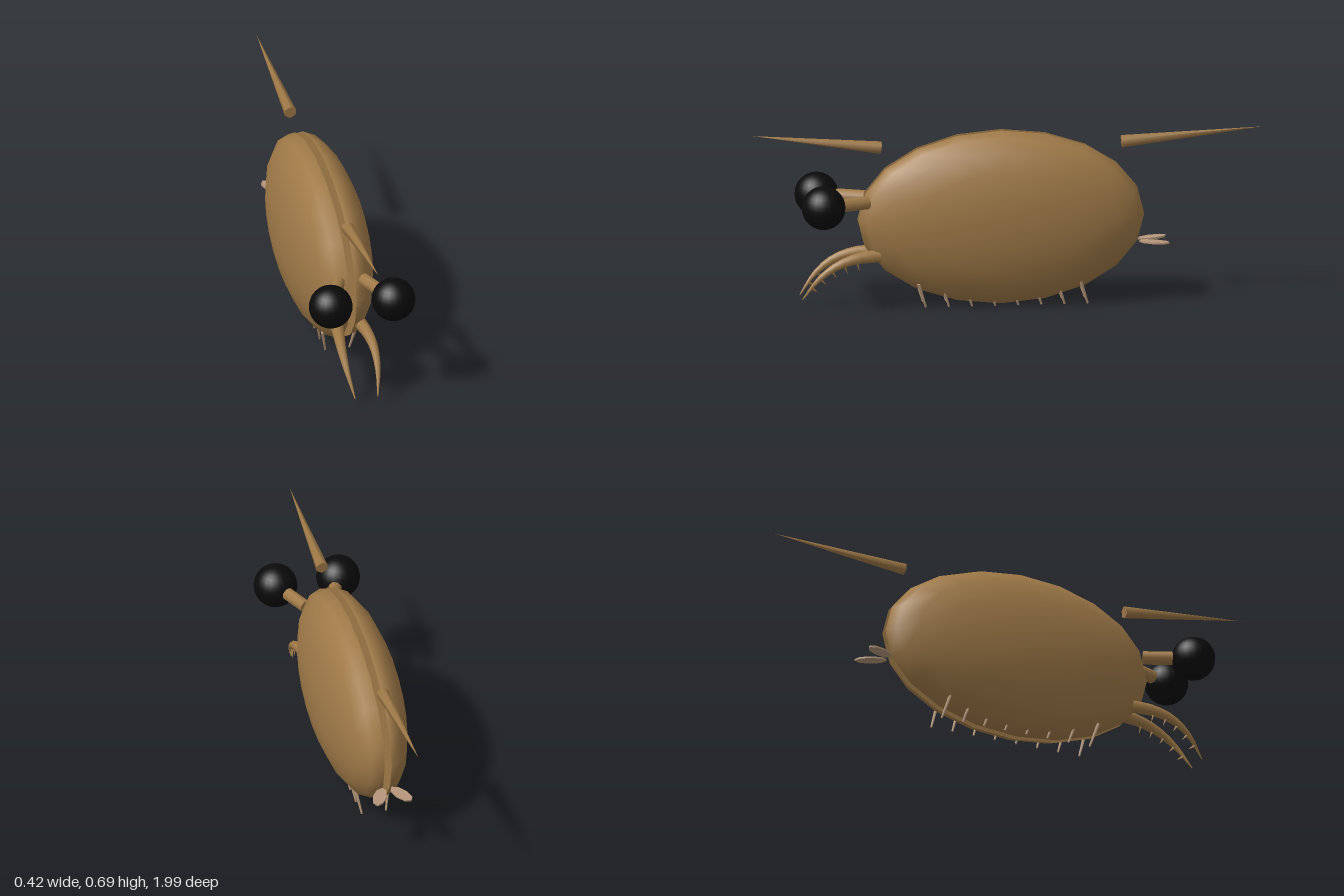
import * as THREE from 'three';

const mat = (name, color) => {
  const m = new THREE.MeshStandardMaterial({ color });
  m.name = name;
  return m;
};
const V = (x, y, z) => new THREE.Vector3(x, y, z);

export function createModel() {
  const shellMat = mat('shell brown', 0xa07a48);
  const eyeMat = mat('eye black', 0x0a0a0a);
  const limbMat = mat('limb tan', 0xb6977a);
  const model = new THREE.Group();
  model.name = 'crustaceanLarva';

  const add = (name, geometry, material, parent = model) => {
    const mesh = new THREE.Mesh(geometry, material);
    mesh.name = name;
    parent.add(mesh);
    return mesh;
  };

  // Tapered rod running from a to b
  const rod = (name, a, b, ra, rb, sides, material, parent) => {
    const dir = b.clone().sub(a);
    const g = new THREE.CylinderGeometry(rb, ra, dir.length(), sides);
    const mesh = add(name, g, material, parent);
    mesh.quaternion.setFromUnitVectors(V(0, 1, 0), dir.normalize());
    mesh.position.copy(a).add(b).multiplyScalar(0.5);
    return mesh;
  };

  // Tube whose radius shrinks along the path
  const taperedTube = (curve, r0, r1, steps, sides) => {
    const g = new THREE.TubeGeometry(curve, steps, 1, sides);
    const p = g.attributes.position;
    for (let i = 0; i < p.count; i++) {
      const t = Math.floor(i / (sides + 1)) / steps;
      const c = curve.getPointAt(t);
      const v = V(0, 0, 0).fromBufferAttribute(p, i).sub(c);
      v.multiplyScalar(r0 + (r1 - r0) * Math.pow(t, 1.3)).add(c);
      p.setXYZ(i, v.x, v.y, v.z);
    }
    return g;
  };

  for (const s of [1, -1]) {
    const side = new THREE.Group();
    side.name = s > 0 ? 'leftSide' : 'rightSide';
    model.add(side);

    // Half shell: outer dome and flat inner wall
    const dome = new THREE.SphereGeometry(1, 20, 5, 0, Math.PI * 2, 0, Math.PI / 2);
    dome.rotateZ(-s * Math.PI / 2).scale(0.15, 0.343, 0.557);
    add('shell', dome, shellMat, side).position.set(s * 0.014, 0.347, 0.033);
    const wall = new THREE.CircleGeometry(1, 20);
    wall.rotateY(-s * Math.PI / 2).scale(1, 0.343, 0.557);
    add('shellInnerWall', wall, shellMat, side).position.set(s * 0.014, 0.347, 0.033);

    // Stalked eye
    const eye = V(s * 0.125, 0.426, 0.737);
    rod('eyeStalk', V(s * 0.05, 0.426, 0.556), eye, 0.026, 0.026, 8, shellMat, side);
    add('eye', new THREE.SphereGeometry(0.085, 24, 16), eyeMat, side).position.copy(eye);

    // Curved grasping arm with spines on its underside
    const path = new THREE.CatmullRomCurve3([
      V(s * 0.045, 0.212, 0.51), V(s * 0.058, 0.205, 0.6), V(s * 0.064, 0.178, 0.68),
      V(s * 0.06, 0.125, 0.75), V(s * 0.045, 0.045, 0.81),
    ]);
    add('graspingArm', taperedTube(path, 0.026, 0.002, 10, 8), shellMat, side);
    for (const t of [0.25, 0.4, 0.55, 0.7, 0.84]) {
      const base = path.getPointAt(t);
      const tan = path.getTangentAt(t);
      const down = V(-s * 0.012, -tan.z, tan.y).normalize();
      const tip = base.clone().addScaledVector(down, 0.062 - 0.032 * t);
      rod('armSpine', base, tip, 0.007, 0, 6, shellMat, side);
    }

    // Row of small legs under the shell
    for (let i = 0; i < 8; i++) {
      const z = 0.36 - i * 0.09;
      rod('leg', V(s * 0.066, 0.1, z), V(s * 0.048, 0.004, z - 0.03), 0.007, 0.004, 6, limbMat, side);
    }

    // Flat tail paddle
    const paddle = new THREE.CylinderGeometry(1, 1, 0.007, 8);
    paddle.scale(0.027, 1, 0.062).rotateY(-s * -0.42).rotateY(-s * 0.84);
    add('tailPaddle', paddle, limbMat, side).position.set(s * 0.043, 0.239, -0.56);
  }

  // Long spines floating along the top edge
  rod('frontSpine', V(0, 0.631, 0.5), V(0, 0.69, 1), 0.025, 0, 6, shellMat);
  rod('rearSpine', V(0, 0.632, -0.437), V(0, 0.677, -0.99), 0.025, 0, 6, shellMat);

  return model;
}
